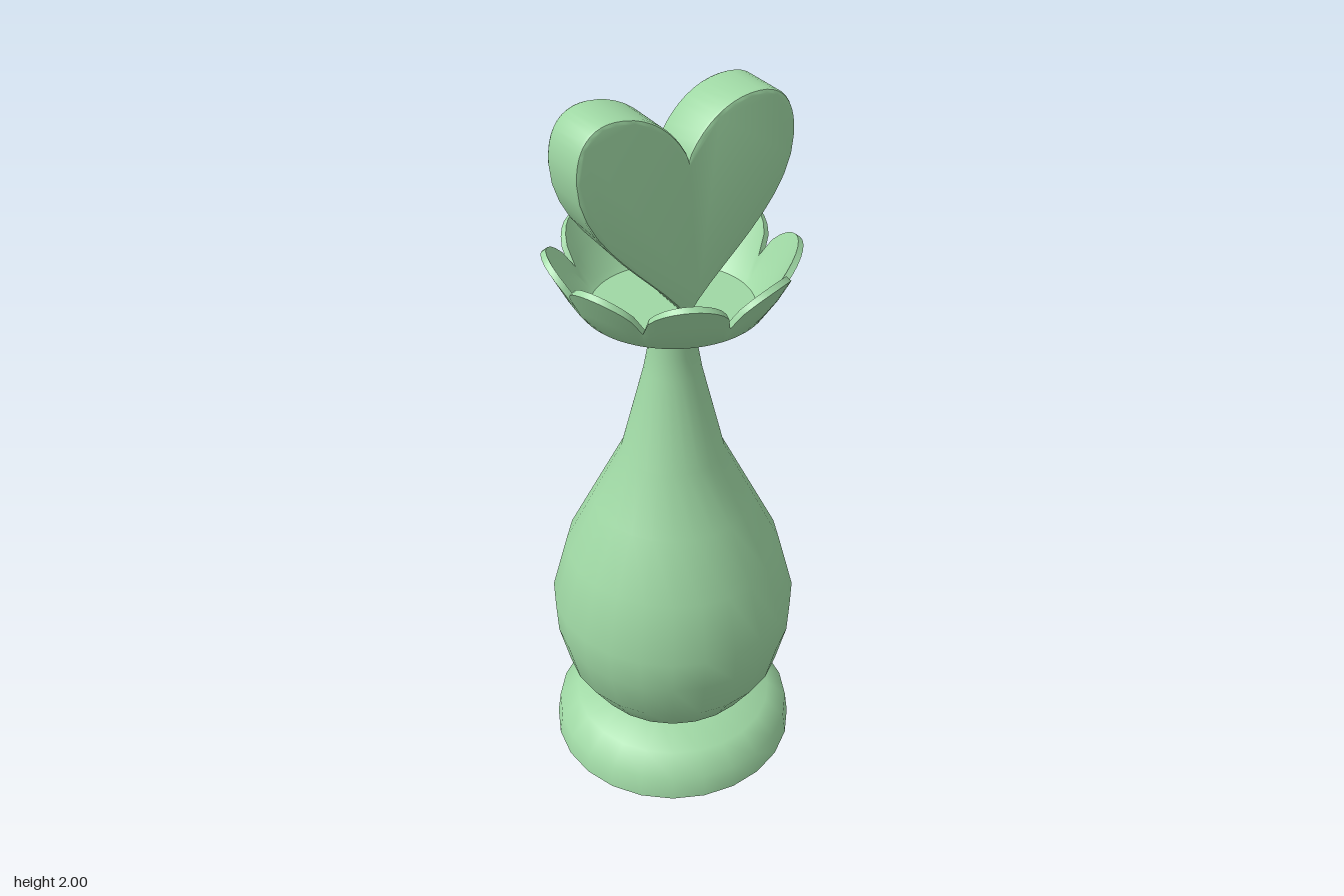
import * as THREE from 'three';
import { toCreasedNormals } from 'three/addons/utils/BufferGeometryUtils.js';

const material = new THREE.MeshStandardMaterial({ color: 0x9fd8a4 });

function addPart(group, name, geometry, crease = 0.9) {
  const mesh = new THREE.Mesh(toCreasedNormals(geometry, crease), material);
  mesh.name = name;
  group.add(mesh);
  return mesh;
}

function lathe(profile, segments = 24) {
  return new THREE.LatheGeometry(profile.map(([r, y]) => new THREE.Vector2(r, y)), segments);
}

// Cup whose upper wall is stretched or shortened around the axis to form eight petals
function petalCup() {
  const base = 1.46, tip = 1.61, notch = 1.515;
  const geometry = lathe([
    [0, 1.395], [0.07, 1.395], [0.19, 1.43], [0.24, 1.46], [0.285, 1.53], [0.325, 1.605],
    [0.312, 1.615], [0.27, 1.535], [0.225, 1.465], [0.21, 1.45], [0, 1.45],
  ], 96);
  const pos = geometry.attributes.position;
  for (let i = 0; i < pos.count; i++) {
    const x = pos.getX(i), y = pos.getY(i), z = pos.getZ(i);
    if (y <= base) continue;
    const r = Math.hypot(x, z);
    const petal = Math.pow(Math.abs(Math.sin(4 * Math.atan2(x, z))), 0.55);
    const k = (notch - base + (tip - notch) * petal) / (tip - base);
    const root = r - 0.58 * (y - base);
    const s = (root + (r - root) * k) / r;
    pos.setXYZ(i, x * s, base + (y - base) * k, z * s);
  }
  return geometry;
}

// Heart plate with a small rounded edge
function heart() {
  const bevel = 0.01;
  const shape = new THREE.Shape();
  shape.moveTo(0, 1.46);
  shape.bezierCurveTo(0.08, 1.58, 0.285, 1.70, 0.285, 1.87);
  shape.bezierCurveTo(0.285, 1.95, 0.25, 1.99, 0.19, 1.99);
  shape.bezierCurveTo(0.11, 1.99, 0.04, 1.94, 0, 1.85);
  shape.bezierCurveTo(-0.04, 1.94, -0.11, 1.99, -0.19, 1.99);
  shape.bezierCurveTo(-0.25, 1.99, -0.285, 1.95, -0.285, 1.87);
  shape.bezierCurveTo(-0.285, 1.70, -0.08, 1.58, 0, 1.46);
  return new THREE.ExtrudeGeometry(shape, {
    depth: 0.13, curveSegments: 10, bevelEnabled: true,
    bevelSize: bevel, bevelThickness: bevel, bevelSegments: 2,
  }).translate(0, 0, -0.061);
}

export function createModel() {
  const group = new THREE.Group();
  group.name = 'heartTopPiece';

  // Round foot
  addPart(group, 'foot', lathe([
    [0, 0], [0.355, 0], [0.346, 0.07], [0.29, 0.12], [0.165, 0.147], [0, 0.147],
  ]));

  // Pear-shaped body and neck
  addPart(group, 'body', lathe([
    [0, 0.14], [0.17, 0.145], [0.25, 0.2], [0.31, 0.295], [0.34, 0.42], [0.345, 0.52],
    [0.3, 0.69], [0.22, 0.85], [0.14, 1.01], [0.077, 1.26], [0.066, 1.32], [0.064, 1.4],
  ]));

  addPart(group, 'petalCup', petalCup(), 0.7);
  addPart(group, 'heart', heart(), 0.6);
  return group;
}
